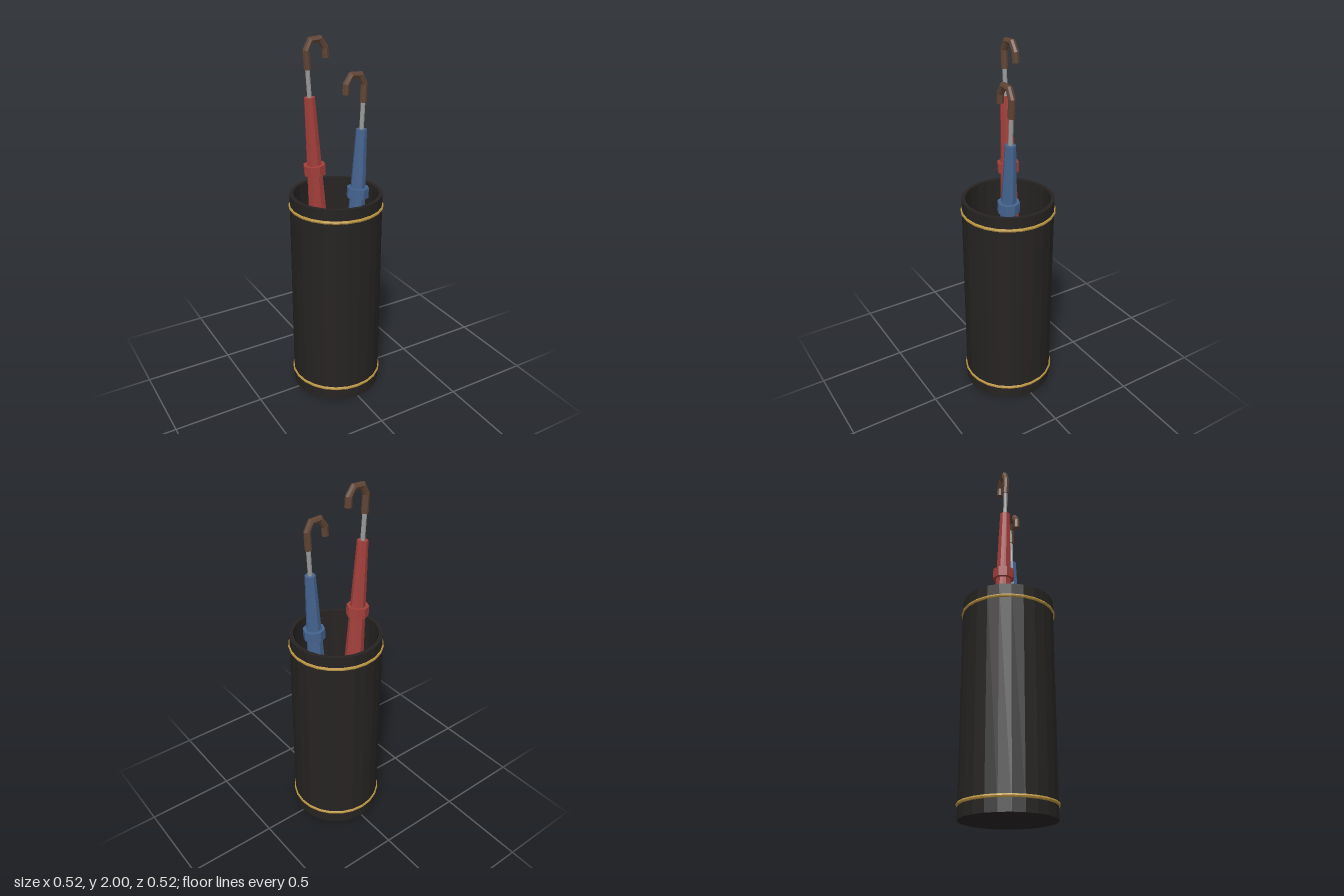
import * as THREE from 'three';

const mat = (color) => new THREE.MeshStandardMaterial({ color, flatShading: true });
const black = mat(0x262322), gold = mat(0xb8923f), red = mat(0xa23f3b);
const blue = mat(0x45638f), brown = mat(0x5e4334), steel = mat(0x999999);

function add(parent, name, geometry, material, x = 0, y = 0, z = 0) {
  const mesh = new THREE.Mesh(geometry, material);
  mesh.name = name;
  mesh.position.set(x, y, z);
  parent.add(mesh);
  return mesh;
}

// Straight segments; sampled exactly at the corners so the joints are mitred
class Polyline extends THREE.Curve {
  constructor(points) {
    super();
    this.points = points;
  }
  getPoint(t, target = new THREE.Vector3()) {
    const n = this.points.length - 1;
    const i = Math.min(Math.floor(t * n + 1e-9), n - 1);
    return target.lerpVectors(this.points[i], this.points[i + 1], t * n - i);
  }
  getPointAt(t, target) { return this.getPoint(t, target); }
  getTangentAt(t, target) { return this.getTangent(t, target); }
}

// Crook handle: straight grip, three-sided bend and a short drop
function makeHandle() {
  const handle = new THREE.Group();
  handle.name = 'handle';
  const R = 0.053, r = 0.019, bend = 0.095;
  const points = [new THREE.Vector3(0, 0, 0)];
  for (let i = 0; i <= 3; i++) {
    const a = Math.PI * (1 - i / 3);
    points.push(new THREE.Vector3(R + R * Math.cos(a), bend + R * Math.sin(a), 0));
  }
  points.push(new THREE.Vector3(2 * R, 0.045, 0));
  add(handle, 'crook', new THREE.TubeGeometry(new Polyline(points), 5, r, 8), brown);
  for (const p of [points[0], points[5]]) {
    add(handle, 'handleEnd', new THREE.CircleGeometry(r, 8), brown, p.x, p.y, p.z).rotation.x = Math.PI / 2;
  }
  return handle;
}

// Folded umbrella standing on its tip, origin at the wide end of the canopy
function makeUmbrella(name, material, length) {
  const umbrella = new THREE.Group();
  umbrella.name = name;
  add(umbrella, 'canopy', new THREE.CylinderGeometry(0.029, 0.08, length, 8), material, 0, length / 2);
  add(umbrella, 'strap', new THREE.CylinderGeometry(0.06, 0.06, 0.055, 8), material, 0, length * 0.75);
  add(umbrella, 'shaft', new THREE.CylinderGeometry(0.012, 0.012, 0.2, 8), steel, 0, length + 0.06);
  add(umbrella, 'tip', new THREE.CylinderGeometry(0.014, 0.008, 0.11, 8), steel, 0, -0.055);
  const handle = makeHandle();
  handle.position.y = length + 0.14;
  umbrella.add(handle);
  return umbrella;
}

export function createModel() {
  const model = new THREE.Group();
  model.name = 'umbrellaStand';

  // Hollow stand with a floor
  const profile = [[0, 0], [0.25, 0], [0.25, 1.18], [0.23, 1.18], [0.23, 0.03], [0, 0.03]];
  add(model, 'stand', new THREE.LatheGeometry(profile.map(([x, y]) => new THREE.Vector2(x, y)), 24), black);

  // Trim rings near the foot and the rim
  for (const y of [0.075, 1.11]) {
    add(model, 'trimRing', new THREE.TorusGeometry(0.248, 0.01, 8, 24), gold, 0, y).rotation.x = Math.PI / 2;
  }

  // Two umbrellas leaning outwards, their handles facing each other
  const tall = makeUmbrella('tallUmbrella', red, 1.55);
  tall.position.set(-0.024, 0.15, -0.06);
  tall.rotation.z = 0.062;
  const short = makeUmbrella('shortUmbrella', blue, 1.38);
  short.position.set(0.047, 0.15, 0.06);
  short.rotation.set(0, Math.PI, 0.051);
  short.rotation.order = 'YXZ';
  model.add(tall, short);

  return model;
}
